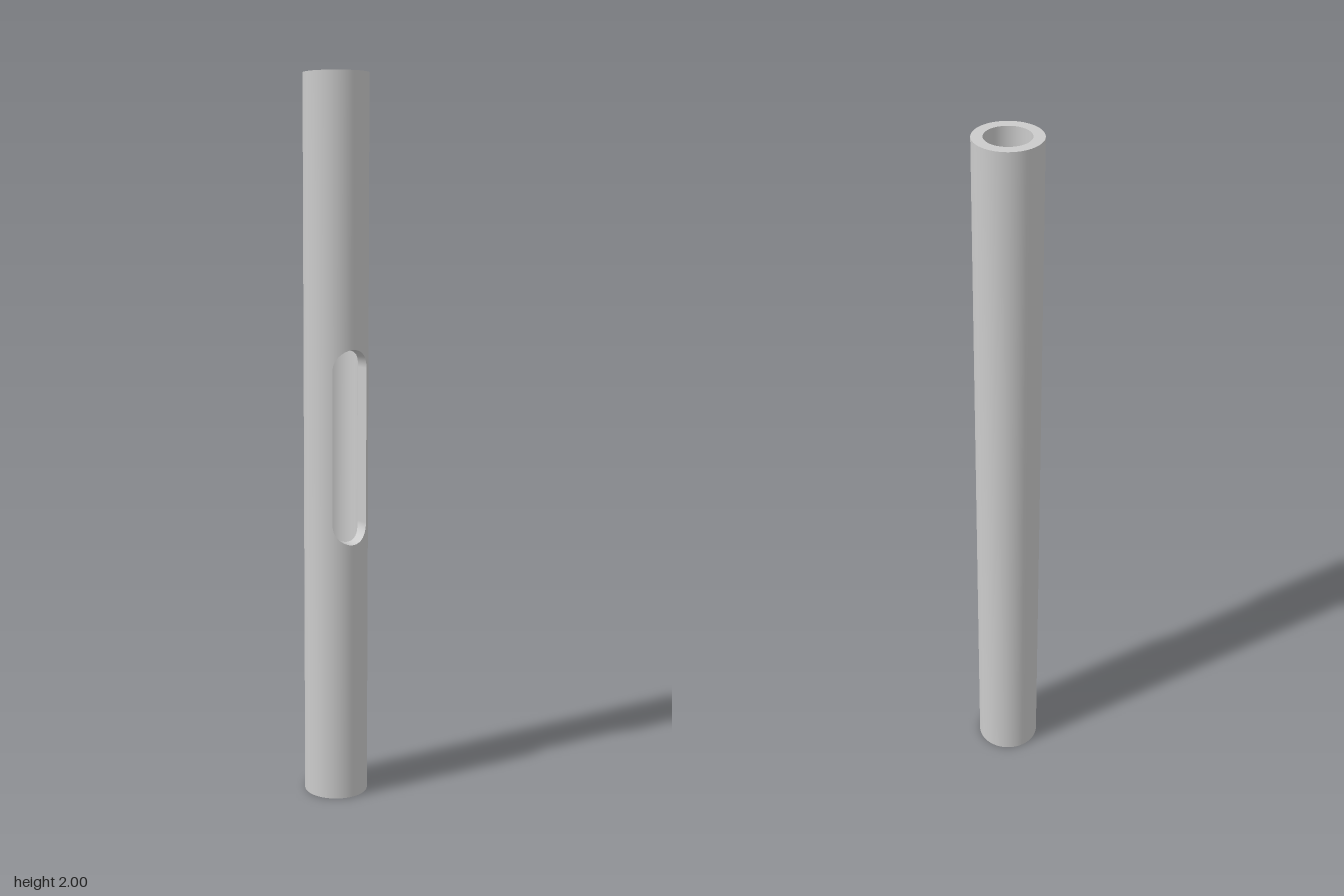
import * as THREE from 'three';
import { mergeGeometries } from 'three/addons/utils/BufferGeometryUtils.js';

const HEIGHT = 2;
const OUTER = { radius: 0.089, slot: 0.054 };
const INNER = { radius: 0.06, slot: 0.05 };
const SLOT_MID = 1, SLOT_REACH = 0.215; // centres of the slot's round ends
const SLOT_STEPS = 32, BACK_STEPS = 64;

const onCylinder = (radius, theta, y) =>
  new THREE.Vector3(radius * Math.sin(theta), y, radius * Math.cos(theta));

// Strip of quads between two point rows; radial = +1 / -1 gives exact cylinder normals
function strip(lower, upper, radial = 0) {
  const n = lower.length, index = [];
  for (let i = 0; i < n - 1; i++) index.push(i, i + 1, n + i + 1, i, n + i + 1, n + i);
  const points = [...lower, ...upper];
  const geometry = new THREE.BufferGeometry().setFromPoints(points);
  geometry.setIndex(index);
  geometry.computeVertexNormals();
  if (radial) {
    const normal = geometry.attributes.normal;
    points.forEach((p, i) => {
      const r = Math.hypot(p.x, p.z) * radial;
      normal.setXYZ(i, p.x / r, 0, p.z / r);
    });
  }
  return geometry;
}

// Rows of points on one cylinder: around the slot and around the back
function layout({ radius, slot }) {
  const edge = Math.asin(slot / radius);
  const front = [], back = [];
  for (let i = 0; i <= SLOT_STEPS; i++) {
    const a = Math.PI * (i / SLOT_STEPS - 0.5);
    front.push({ theta: Math.asin(slot * Math.sin(a) / radius), rise: SLOT_REACH + slot * Math.cos(a) });
  }
  for (let i = 0; i <= BACK_STEPS; i++) back.push(edge + (2 * Math.PI - 2 * edge) * i / BACK_STEPS);
  const frontAt = (y) => front.map((c) => onCylinder(radius, c.theta, y));
  const backAt = (y) => back.map((t) => onCylinder(radius, t, y));
  const slotEdge = (sign) => front.map((c) => onCylinder(radius, c.theta, SLOT_MID + sign * c.rise));
  const bottom = slotEdge(-1), top = slotEdge(1);
  return {
    bands: [[frontAt(0), bottom], [top, frontAt(HEIGHT)], [backAt(0), backAt(HEIGHT)]],
    ring: (y) => [...frontAt(y), ...backAt(y).slice(1)],
    slotLoop: [...bottom, ...[...top].reverse(), bottom[0]],
  };
}

export function createModel() {
  const group = new THREE.Group();
  group.name = 'slottedTube';
  const material = new THREE.MeshStandardMaterial({ color: 0xcccccc });
  const add = (name, geometry) => {
    const mesh = new THREE.Mesh(geometry, material);
    mesh.name = name;
    group.add(mesh);
  };
  const outer = layout(OUTER), inner = layout(INNER);

  // Outside and bore of the tube
  add('outerWall', mergeGeometries(outer.bands.map(([low, high]) => strip(low, high, 1))));
  add('bore', mergeGeometries(inner.bands.map(([low, high]) => strip(high, low, -1))));

  // Flat ring ends
  add('topRim', strip(outer.ring(HEIGHT), inner.ring(HEIGHT)));
  add('bottomRim', strip(inner.ring(0), outer.ring(0)));

  // Cut faces of the round-ended front slot
  add('slotWall', strip(outer.slotLoop, inner.slotLoop));
  return group;
}
